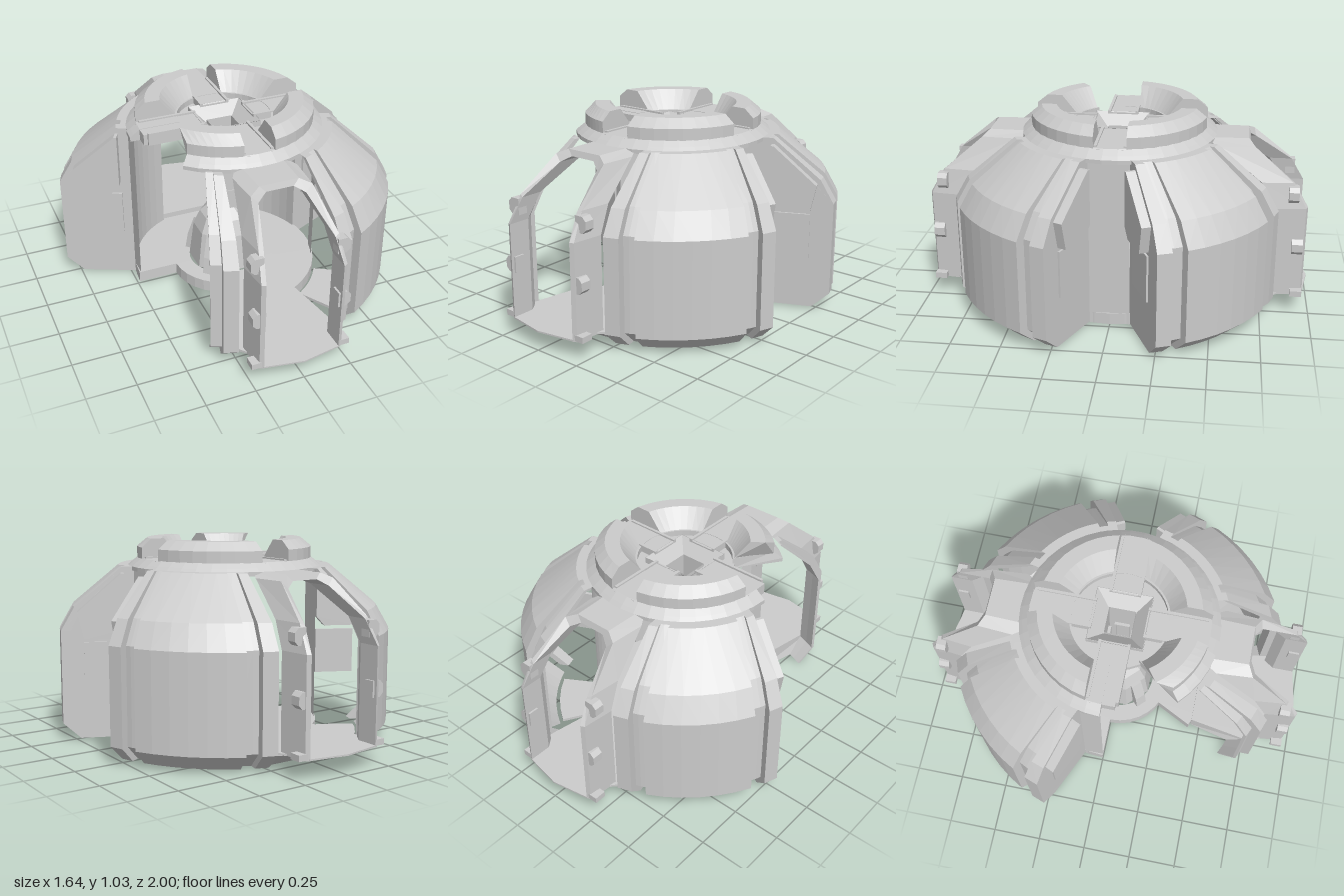
import * as THREE from 'three';

const D = Math.PI / 180;
const solid = new THREE.MeshStandardMaterial({ color: 0xcccccc, flatShading: true });
const sheet = new THREE.MeshStandardMaterial({ color: 0xcccccc, flatShading: true, side: THREE.DoubleSide });

// Skin through closed sections of equal length, with optional caps at the start and end
function loft(sections, capShape, capStart = true, capEnd = true) {
  const n = sections[0].length, idx = [];
  for (let s = 0; s < sections.length - 1; s++) {
    for (let i = 0; i < n; i++) {
      const a = s * n + i, b = s * n + (i + 1) % n;
      idx.push(a, a + n, b, b, a + n, b + n);
    }
  }
  const caps = THREE.ShapeUtils.triangulateShape(capShape.map(p => new THREE.Vector2(p[0], p[1])), []);
  const last = (sections.length - 1) * n;
  for (const [a, b, c] of caps) {
    if (capStart) idx.push(a, b, c);
    if (capEnd) idx.push(last + a, last + c, last + b);
  }
  const g = new THREE.BufferGeometry();
  g.setAttribute('position', new THREE.Float32BufferAttribute(sections.flat(2), 3));
  g.setIndex(idx);
  return g;
}

// Closed (radius, y) profile swept about y; angles run from +z towards +x and may vary with radius
function wedge(profile, lo, hi, n, u0 = 0, u1 = 1, capStart = true) {
  const sections = [];
  for (let s = 0; s <= n; s++) {
    const u = u0 + (u1 - u0) * s / n;
    sections.push(profile.map(([r, y]) => {
      const a = lo(r) + (hi(r) - lo(r)) * u;
      return [r * Math.sin(a), y, r * Math.cos(a)];
    }));
  }
  return loft(sections, profile, capStart);
}

const polygon = pts => new THREE.Shape(pts.map(p => new THREE.Vector2(p[0], p[1])));
const plate = (shape, depth) => new THREE.ExtrudeGeometry(shape, { depth, bevelEnabled: false });
const box = (w, h, d, x, y, z) => new THREE.BoxGeometry(w, h, d).translate(x, y, z);

export function createModel() {
  const model = new THREE.Group();
  const add = (name, geo, sx = 1, sz = 1, material = solid) => {
    const g = geo.index ? geo.toNonIndexed() : geo;
    g.scale(sx, 1, sz);
    if (sx * sz < 0) {
      // Mirrored once: swap two corners so that faces still point outwards
      const p = g.attributes.position;
      for (let i = 0; i < p.count; i += 3) {
        const b = [p.getX(i + 1), p.getY(i + 1), p.getZ(i + 1)];
        p.setXYZ(i + 1, p.getX(i + 2), p.getY(i + 2), p.getZ(i + 2));
        p.setXYZ(i + 2, ...b);
      }
    }
    g.computeVertexNormals();
    const mesh = new THREE.Mesh(g, material);
    mesh.name = name;
    model.add(mesh);
  };

  // Wall blocks: edges lean towards the doors (z) and the side alcoves (x)
  const doorEdge = r => Math.asin((0.2 + 0.16 * (r - 0.48)) / r);
  const alcoveEdge = r => Math.PI / 2 - Math.asin((0.1 + 0.42 * (r - 0.48)) / r);
  const outer = d => [[0.77 - d, 0.01], [0.858 - d, 0.09], [0.858 - d, 0.57], [0.79 - d, 0.69], [0.55 - d * 0.5, 0.89]];
  const core = [[0.48, 0.01], ...outer(0.045), [0.48, 0.89]];
  const slab = (d0, d1, n, u0, u1) => wedge([...outer(d0), ...outer(d1).reverse()], doorEdge, alcoveEdge, n, u0, u1);

  for (const [sx, sz] of [[1, 1], [1, -1], [-1, -1]]) {
    add('wallBody', wedge(core, doorEdge, alcoveEdge, 8, 0, 1, false), sx, sz);
    add('wallPanel', slab(0, 0.05, 6, 0.18, 0.82), sx, sz);
    add('doorSideRib', slab(0, 0.05, 1, 0, 0.09), sx, sz);
    add('alcoveSideRib', slab(0, 0.05, 1, 0.91, 1), sx, sz);

    // Plates on the alcove side of the block
    const lower = polygon([[0.05, 0.27], [0.26, 0.27], [0.26, 0.51], [0.05, 0.51]]);
    const upper = polygon([[0.055, 0.58], [0.1, 0.53], [0.26, 0.53], [0.29, 0.67], [0.07, 0.86], [0.055, 0.86]]);
    for (const [name, shape, d] of [['alcoveLowerPlate', lower, 0.008], ['alcoveUpperPlate', upper, 0.045]]) {
      add(name, plate(shape, d + 0.01).translate(0, 0, -d).rotateY(-25 * D).translate(0.48, 0, 0.1), sx, sz);
    }

    // Bracket under the floor
    const foot = [[0.5, 0], [0.7, 0], [0.7, 0.015], [0.5, 0.015]];
    add('footPlate', wedge(foot, () => 31 * D, () => 59 * D, 4), sx, sz);
  }

  // Remnant of the broken wall beside the front door
  add('brokenWallBody', slab(0.045, 0.06, 2, 0, 0.16), -1, 1);
  add('brokenWallRib', slab(0, 0.05, 1, 0, 0.09), -1, 1);

  // Alcove back walls, facing outwards; the one on the broken side is cut in half
  add('alcoveWall', new THREE.PlaneGeometry(0.2, 0.88).rotateY(Math.PI / 2).translate(0.482, 0.45, 0));
  add('brokenAlcoveWall', new THREE.PlaneGeometry(0.1, 0.88).rotateY(-Math.PI / 2).translate(-0.482, 0.45, -0.05));

  // Floor, broken at one corner, with a complete ring around the central opening
  const floor = [[0.27, 0.01], [0.49, 0.01], [0.49, 0.07], [0.27, 0.07]];
  add('floor', wedge(floor, () => -27 * D, () => 270 * D, 33));
  const hole = [[0.23, 0.008], [0.28, 0.008], [0.28, 0.07], [0.19, 0.07], [0.2, 0.04]];
  add('floorOpeningRing', wedge(hole, () => 0, () => 360 * D, 32));

  // Roof ring, open over the broken corner
  const roof = [[0.24, 0.87], [0.5, 0.87], [0.5, 0.89], [0.482, 0.905], [0.45, 0.93], [0.24, 0.93]];
  add('roofRing', wedge(roof, r => (r > 0.4 ? -45 : -56) * D, () => 270 * D, 36));
  const innerRoof = [[0.16, 0.87], [0.25, 0.87], [0.25, 0.9], [0.16, 0.9]];
  add('innerRoof', wedge(innerRoof, () => 0, () => 360 * D, 32));

  // Raised crown in four pieces with slots between them
  const crown = [[0.452, 0.92], [0.452, 0.985], [0.4, 1.028], [0.325, 1.028], [0.25, 0.93], [0.25, 0.92]];
  const slot = r => Math.asin(0.08 / r);
  for (let q = 0; q < 4; q++) {
    const start = r => (q === 3 ? (r > 0.42 ? 315 : 306) * D : q * Math.PI / 2 + slot(r));
    add('crownSegment', wedge(crown, start, r => (q + 1) * Math.PI / 2 - slot(r), 8));
  }

  // Cross beams in the slots
  for (let q = 0; q < 4; q++) {
    const spin = g => g.rotateY(q * Math.PI / 2);
    add('roofBeam', spin(box(0.13, 0.055, 0.32, 0, 0.9, 0.29)));
    for (const s of [-1, 1]) add('beamRail', spin(box(0.015, 0.065, 0.3, s * 0.072, 0.905, 0.28)));
  }

  // Square funnel at the crossing of the beams, above a hollow column
  const square = (top, bottom, h, y) =>
    new THREE.CylinderGeometry(top * Math.SQRT2, bottom * Math.SQRT2, h, 4, 1, true).rotateY(Math.PI / 4).translate(0, y, 0);
  add('funnel', square(0.14, 0.07, 0.07, 0.895), 1, 1, sheet);
  add('funnelSides', square(0.142, 0.142, 0.06, 0.9), 1, 1, sheet);
  add('column', square(0.068, 0.068, 0.5, 0.625), 1, 1, sheet);

  // Column base with buttresses and a window frame on every side
  const base = [[0.19, 0.07], [0.165, 0.27], [0.13, 0.35], [0.075, 0.4]].map(p => new THREE.Vector2(...p));
  add('columnBase', new THREE.LatheGeometry(base, 8, Math.PI / 8), 1, 1, sheet);
  const buttress = polygon([[0.12, 0.07], [0.22, 0.07], [0.205, 0.16], [0.165, 0.28], [0.12, 0.28]]);
  const frame = polygon([[-0.04, 0.5], [0.04, 0.5], [0.04, 0.69], [-0.04, 0.69]]);
  frame.holes.push(polygon([[-0.03, 0.51], [-0.03, 0.68], [0.03, 0.68], [0.03, 0.51]]));
  for (let q = 0; q < 4; q++) {
    add('columnFrame', plate(frame, 0.02).translate(0, 0, 0.053).rotateY(q * Math.PI / 2));
    add('baseButtress', plate(buttress, 0.06).translate(0, 0, -0.03).rotateY((q + 0.5) * Math.PI / 2));
  }

  // Doors: stations hold outer x, y, inner x, y, front z, back z
  const half = [[0.215, 0.09, 0.195, 0.09, 0.965, 0.85], [0.215, 0.57, 0.195, 0.57, 0.965, 0.85],
    [0.2, 0.7, 0.178, 0.69, 0.895, 0.78], [0.155, 0.865, 0.12, 0.83, 0.7, 0.56], [0.1, 0.89, 0.07, 0.86, 0.67, 0.46]];
  const stations = [...half, ...half.slice().reverse().map(([a, b, c, d, e, f]) => [-a, b, -c, d, e, f])];
  for (const sz of [1, -1]) {
    const arch = stations.map(([xo, yo, xi, yi, zf, zb]) =>
      [[xo, yo, zf - 0.01], [xi, yi, zf], [xi, yi, zb], [xo * 1.08, yo, zb - 0.05]]);
    add('doorArch', loft(arch, [[0, 0], [1, 0], [1, 1], [0, 1]]), 1, sz);

    // Threshold with an undercut front and a thin pointed lip
    const plan = [[-0.2, 0.45], [0.2, 0.45], [0.26, 0.8], [0.21, 0.86], [0.2, 0.965], [0, 1],
      [-0.2, 0.965], [-0.21, 0.86], [-0.26, 0.8]];
    const level = (y, zMax) => plan.map(([x, z]) => [x, y, Math.min(z, zMax)]);
    add('threshold', loft([level(0.01, 0.7), level(0.085, 0.83), level(0.092, 1), level(0.1, 1)], plan), 1, sz);

    // Clips and feet on the jambs
    for (const sx of [1, -1]) {
      const clip = polygon([[0.185, -0.04], [0.23, -0.04], [0.25, -0.02], [0.25, 0.02], [0.23, 0.04], [0.185, 0.04]]);
      add('upperClip', plate(clip, 0.05).translate(0, 0.645, 0.865), sx, sz);
      add('lowerClip', plate(clip, 0.055).translate(0, 0.365, 0.895), sx, sz);
      add('jambFoot', box(0.05, 0.03, 0.06, 0.23, 0.11, 0.93), sx, sz);
    }
  }
  return model;
}
